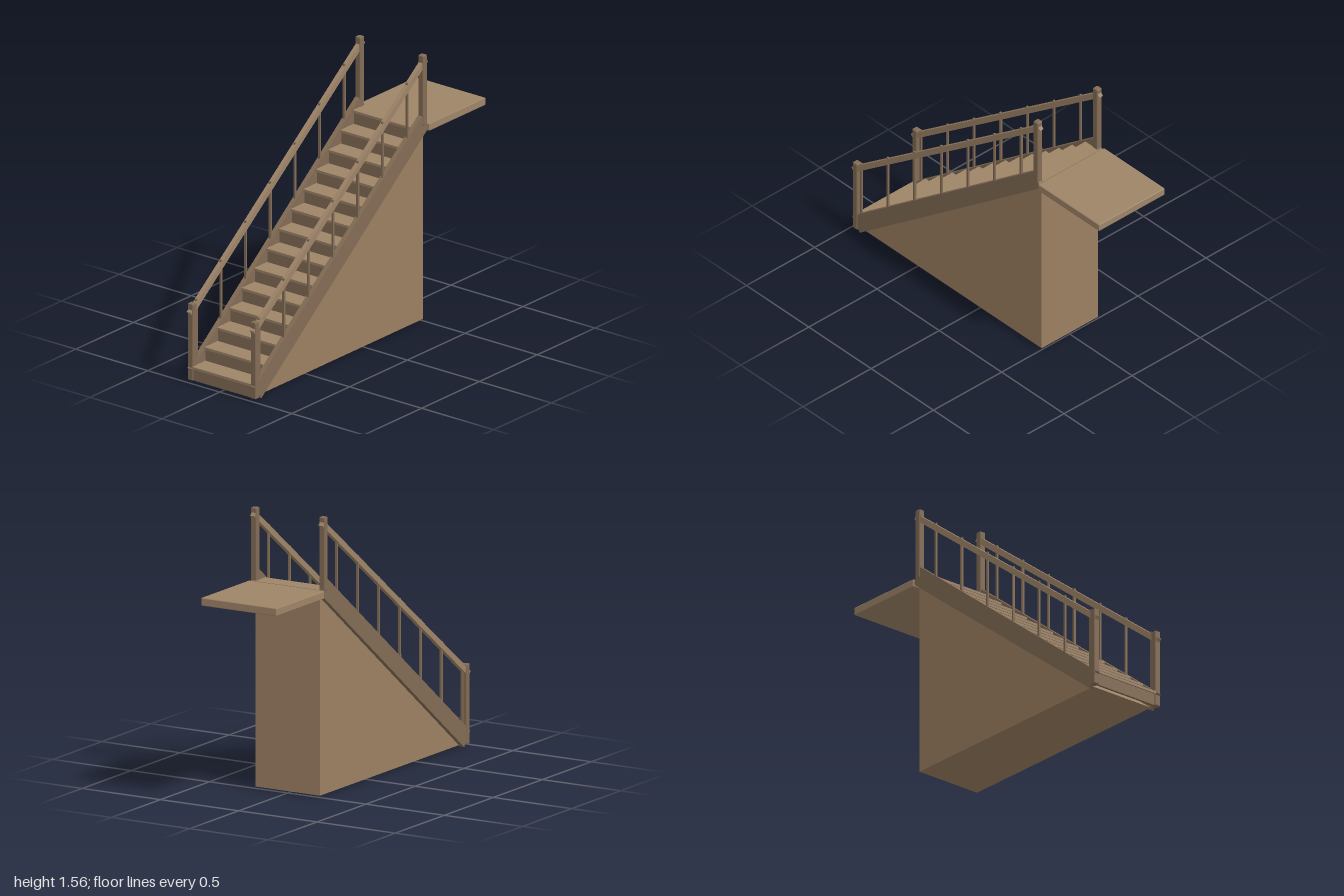
import * as THREE from 'three';
import { RoundedBoxGeometry } from 'three/addons/geometries/RoundedBoxGeometry.js';

const wood = new THREE.MeshStandardMaterial({ color: 0x9e8468 });
const darkWood = new THREE.MeshStandardMaterial({ color: 0x836c55 });
const baseWood = new THREE.MeshStandardMaterial({ color: 0x9c8062 });

const STEPS = 14, RISE = 0.0818, RUN = 0.1068, FRONT = 0.985, FLOOR = 0.01;

export function createModel() {
  const model = new THREE.Group();
  model.name = 'staircase';

  const add = (name, geometry, material, x = 0, y = 0, z = 0) => {
    const mesh = new THREE.Mesh(geometry, material);
    mesh.name = name;
    mesh.position.set(x, y, z);
    model.add(mesh);
    return mesh;
  };

  // Side profile given as [z, y] points, extruded along x and centred on x
  const profile = (name, points, width, material, x = 0) => {
    const shape = new THREE.Shape(points.map(([z, y]) => new THREE.Vector2(-z, y)));
    const geometry = new THREE.ExtrudeGeometry(shape, { depth: width, bevelEnabled: false });
    geometry.translate(0, 0, -width / 2).rotateY(Math.PI / 2);
    return add(name, geometry, material, x);
  };

  // Solid wedge under the flight
  profile('base', [[0.94, FLOOR], [-0.5, FLOOR], [-0.5, 1.12]], 0.412, baseWood);

  // Treads with a slight nosing over the risers
  for (let i = 0; i < STEPS; i++) {
    const top = FLOOR + RISE * (i + 1);
    const front = FRONT - RUN * i;
    const depth = RUN + 0.008;
    const back = Math.max(front - depth, -0.51);
    add('tread', new THREE.BoxGeometry(0.408, 0.014, front - back), wood, 0, top - 0.007, (front + back) / 2);
    add('riser', new THREE.BoxGeometry(0.404, RISE - 0.014, 0.014), darkWood,
      0, top - 0.014 - (RISE - 0.014) / 2, front - 0.015);
  }

  // Landing
  add('landing', new RoundedBoxGeometry(0.484, 0.045, 0.49, 1, 0.006), wood, 0, 1.1325, -0.755);

  const railY = z => 0.4 + (0.985 - z) * 0.7576;
  const railLength = Math.hypot(1.485, 1.125);
  const slope = Math.atan2(1.125, 1.485);

  for (const side of [-1, 1]) {
    const x = side * 0.218;

    // Sloping side board
    profile('stringer', [[0.93, 0], [-0.522, 1.13], [-0.46, 1.21], [0.992, 0.08]], 0.028, darkWood, x);

    // Newel posts at both ends
    add('lowerPost', new RoundedBoxGeometry(0.036, 0.447, 0.036, 1, 0.006), darkWood, x, 0.2325, 0.967);
    add('upperPost', new RoundedBoxGeometry(0.036, 0.41, 0.036, 1, 0.006), darkWood, x, 1.355, -0.483);

    // Handrail
    const rail = add('handrail', new THREE.BoxGeometry(0.026, 0.032, railLength + 0.01), wood,
      x, railY(0.2425), 0.2425);
    rail.rotation.x = slope;

    // Balusters, running just through the rail
    for (let i = 0; i < 7; i++) {
      const z = 0.932 - i * 0.2135;
      const bottom = 0.09 + (0.965 - z) * 0.778;
      const top = railY(z) + 0.027;
      add('baluster', new THREE.BoxGeometry(0.012, top - bottom, 0.012), darkWood, x, (top + bottom) / 2, z);
    }
  }

  return model;
}
